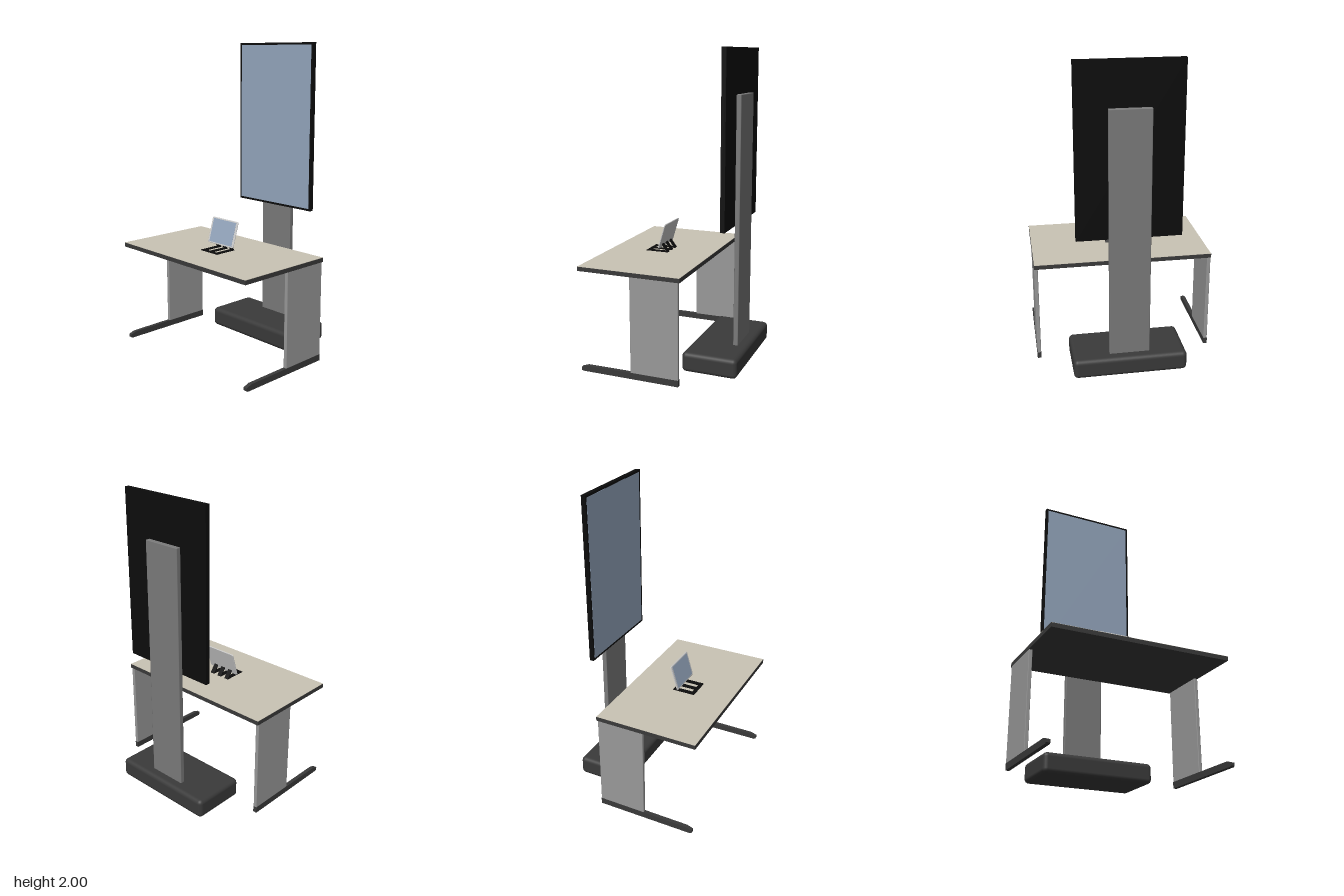
import * as THREE from 'three';
import { RoundedBoxGeometry } from 'three/addons/geometries/RoundedBoxGeometry.js';

const mat = (color) => new THREE.MeshStandardMaterial({ color });
const dark = mat(0x3a3a3a);
const black = mat(0x0c0c0c);
const columnGrey = mat(0x7a7a7a);
const panelGrey = mat(0x999999);
const glass = mat(0x94a6bd);
const silver = mat(0xcccccc);
const beige = mat(0xcac4b5);

function add(parent, name, geometry, material) {
  const mesh = new THREE.Mesh(geometry, material);
  mesh.name = name;
  parent.add(mesh);
  return mesh;
}

// Box given by its extents on each axis; a radius softens its edges
function box(parent, name, [x0, x1], [y0, y1], [z0, z1], material, radius = 0, segments = 1) {
  const size = [x1 - x0, y1 - y0, z1 - z0];
  const geometry = radius
    ? new RoundedBoxGeometry(...size, segments, radius)
    : new THREE.BoxGeometry(...size);
  geometry.translate((x0 + x1) / 2, (y0 + y1) / 2, (z0 + z1) / 2);
  return add(parent, name, geometry, material);
}

// Side profile of [z, y] points extruded along x, centred on x
function sideExtrude(points, width, x) {
  const shape = new THREE.Shape(points.map(([z, y]) => new THREE.Vector2(z, y)));
  const geometry = new THREE.ExtrudeGeometry(shape, { depth: width, bevelEnabled: false });
  return geometry.rotateY(-Math.PI / 2).translate(x + width / 2, 0, 0);
}

function group(parent, name) {
  const g = new THREE.Group();
  g.name = name;
  parent.add(g);
  return g;
}

function roundedRect(w, h, r) {
  const s = new THREE.Shape();
  s.absarc(w / 2 - r, h / 2 - r, r, 0, Math.PI / 2);
  s.absarc(-w / 2 + r, h / 2 - r, r, Math.PI / 2, Math.PI);
  s.absarc(-w / 2 + r, -h / 2 + r, r, Math.PI, Math.PI * 1.5);
  s.absarc(w / 2 - r, -h / 2 + r, r, Math.PI * 1.5, Math.PI * 2);
  return s;
}

function buildDesk(model) {
  const desk = group(model, 'desk');
  box(desk, 'desktopBody', [-0.58, 0.58], [0.652, 0.679], [-0.196, 0.482], dark);
  box(desk, 'desktopSurface', [-0.579, 0.579], [0.679, 0.681], [-0.195, 0.481], beige);
  const footProfile = [[-0.186, 0], [0.46, 0], [0.47, 0.006], [0.47, 0.024], [0.43, 0.038], [-0.186, 0.042]];
  for (const side of [-1, 1]) {
    const x = side * 0.568;
    const leg = group(desk, side > 0 ? 'leftLeg' : 'rightLeg');
    box(leg, 'legPanel', [x - 0.012, x + 0.012], [0.038, 0.655], [-0.186, 0.13], panelGrey, 0.004);
    add(leg, 'legFoot', sideExtrude(footProfile, 0.025, x), dark);
  }
}

function buildDisplay(model) {
  const display = group(model, 'displayStand');
  box(display, 'standBase', [-0.366, 0.366], [0, 0.128], [-0.48, -0.12], dark, 0.028, 3);
  box(display, 'standColumn', [-0.13, 0.13], [0.12, 1.722], [-0.416, -0.384], columnGrey, 0.005);
  box(display, 'screenCase', [-0.329, 0.329], [0.911, 2], [-0.385, -0.356], black);
  box(display, 'screenGlass', [-0.315, 0.315], [0.925, 1.986], [-0.357, -0.355], glass);
}

function buildTablet(model) {
  const holder = group(model, 'tabletWithHolder');
  // Bent prongs lie on the desk, then rise to the back of the tablet
  const prong = [[0.242, 0.68], [0.242, 0.685], [0.1, 0.685], [0.135, 0.733], [0.131, 0.738], [0.09, 0.683], [0.09, 0.68]];
  for (const x of [-0.0625, 0, 0.0625]) {
    add(holder, 'holderProng', sideExtrude(prong, 0.031, x), black);
  }
  box(holder, 'holderCrossbar', [-0.078, 0.078], [0.68, 0.6852], [0.217, 0.242], black);

  const tablet = group(holder, 'tablet');
  const body = new THREE.ExtrudeGeometry(roundedRect(0.24, 0.172, 0.012), {
    depth: 0.004, bevelThickness: 0.002, bevelSize: 0.003, bevelOffset: -0.003, bevelSegments: 1, curveSegments: 4,
  });
  add(tablet, 'tabletCase', body.translate(0, 0, -0.002), silver);
  box(tablet, 'tabletGlass', [-0.105, 0.105], [-0.077, 0.077], [0.003, 0.0048], glass);
  tablet.position.set(0, 0.793, 0.117);
  tablet.rotation.x = -0.29;
}

export function createModel() {
  const model = new THREE.Group();
  model.name = 'deskWithDisplay';
  buildDesk(model);
  buildDisplay(model);
  buildTablet(model);
  return model;
}
